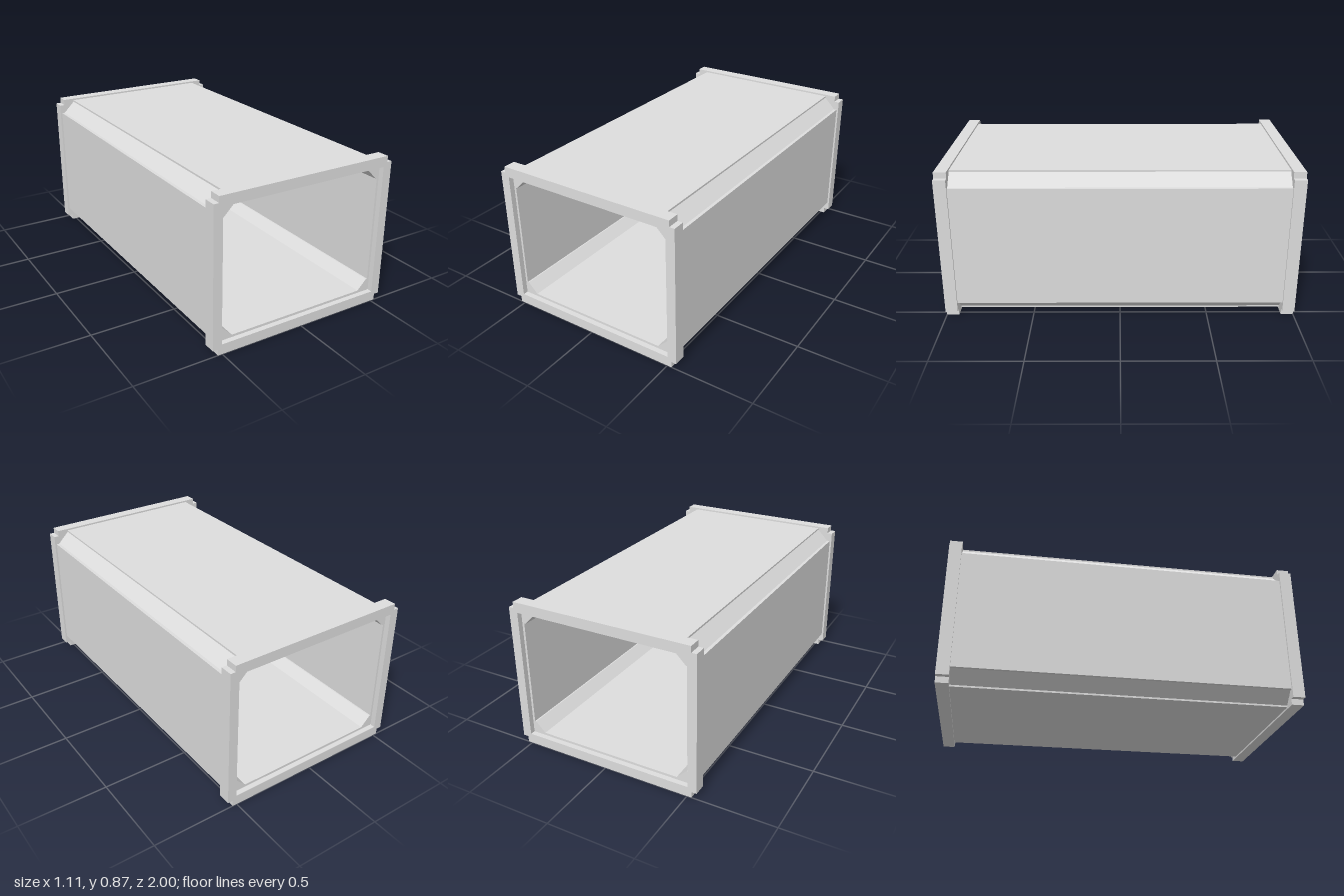
import * as THREE from 'three';

const MID = 0.435; // height of the duct's centre line

// Mirror one quadrant (from the top edge round to the side) into a closed
// counter-clockwise outline, so outer walls and hole walls both face outwards
function outline(q) {
  const r = [...q].reverse();
  return [
    ...r,
    ...q.map(([x, y]) => [-x, y]),
    ...r.map(([x, y]) => [-x, -y]),
    ...q.map(([x, y]) => [x, -y]),
  ].map(([x, y]) => new THREE.Vector2(x, y + MID));
}

// Hollow profile extruded along z between z0 and z1
function hollow(name, outer, inner, z0, z1, material) {
  const shape = new THREE.Shape(outline(outer));
  shape.holes.push(new THREE.Path(outline(inner)));
  const geometry = new THREE.ExtrudeGeometry(shape, { depth: z1 - z0, bevelEnabled: false });
  geometry.translate(0, 0, z0);
  const mesh = new THREE.Mesh(geometry, material);
  mesh.name = name;
  return mesh;
}

export function createModel() {
  const grey = new THREE.MeshStandardMaterial({ color: 0xdddddd });
  grey.name = 'concrete grey';
  const group = new THREE.Group();
  group.name = 'boxCulvert';

  // Duct body: raised wall panels joined by chamfered corners
  const bodyOuter = [[0.46, 0.425], [0.46, 0.415], [0.527, 0.348], [0.545, 0.348]];
  const bodyInner = [[0.424, 0.363], [0.482, 0.305], [0.49, 0.305]];
  group.add(hollow('ductBody', bodyOuter, bodyInner, -0.97, 0.97, grey));

  // End frames: rectangular collars with notched outer corners
  const frameOuter = [[0.526, 0.435], [0.526, 0.4], [0.556, 0.4]];
  const frameInner = [[0.503, 0.377]];
  group.add(hollow('frontFrame', frameOuter, frameInner, 0.93, 1, grey));
  group.add(hollow('backFrame', frameOuter, frameInner, -1, -0.93, grey));
  return group;
}
